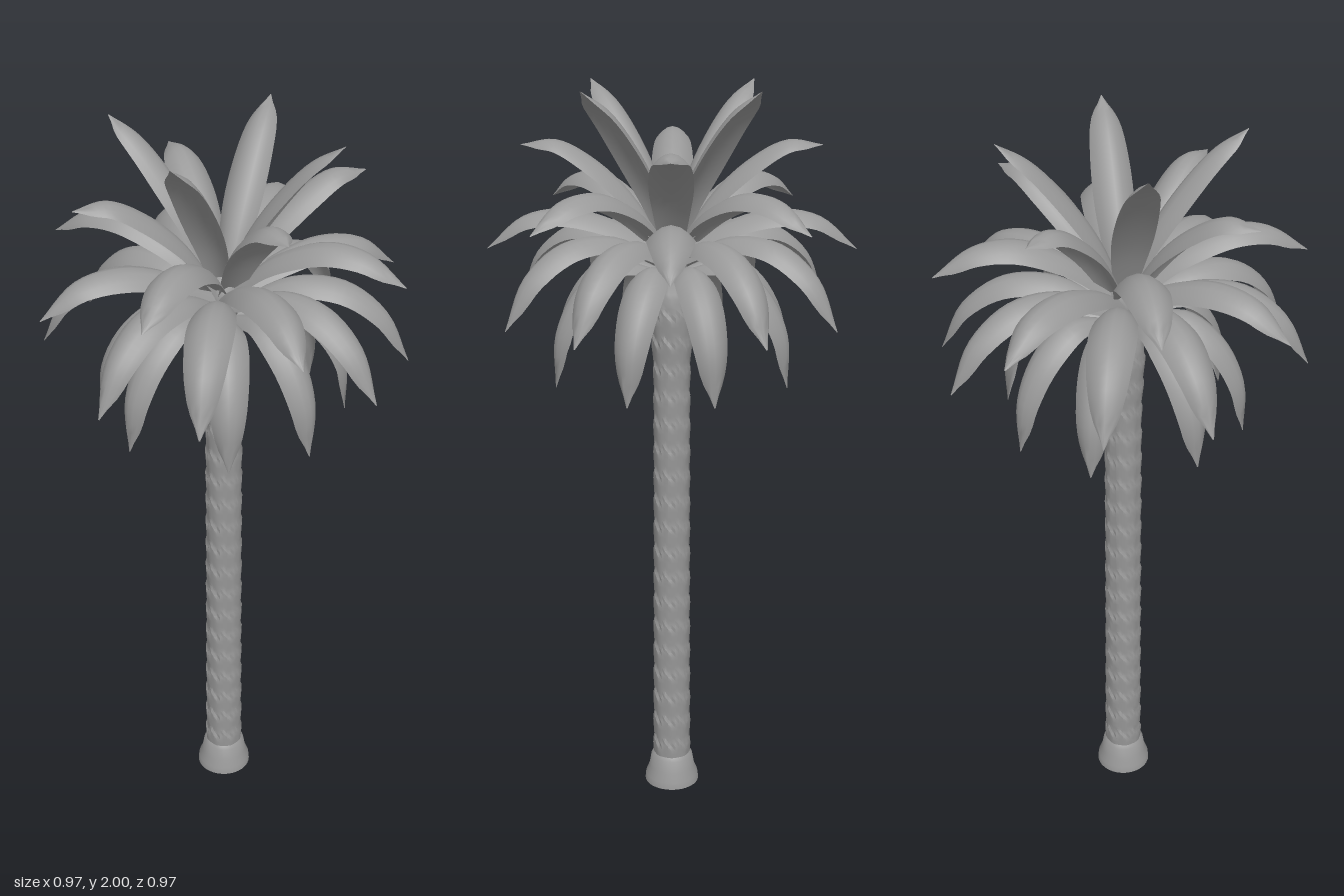
import * as THREE from 'three';
import { mergeVertices, toCreasedNormals } from 'three/addons/utils/BufferGeometryUtils.js';

// Smooth arched frond: a tube reshaped into a crescent section along a spine in the x-y plane
function frondGeometry(spine, halfWidth) {
  const curve = new THREE.CatmullRomCurve3(spine.map(([r, y]) => new THREE.Vector3(r, y, 0)));
  const widths = new THREE.SplineCurve(
    [0.5, 0.72, 0.9, 1, 1, 0.93, 0.8, 0.56, 0.03].map((w, i) => new THREE.Vector2(i / 8, w)));
  let geo = new THREE.CylinderGeometry(1, 1, 1, 16, 20, true);
  const pos = geo.attributes.position;
  for (let i = 0; i < pos.count; i++) {
    const u = pos.getX(i), s = THREE.MathUtils.clamp(pos.getY(i) + 0.5, 0, 1);
    const p = curve.getPoint(s), t = curve.getTangent(s);
    const w = halfWidth * widths.getPoint(s).y;
    const under = pos.getZ(i) < -1e-4 ? 0.25 * w * (1 - u * u) : 0;
    const lift = -0.65 * w * u * u - under;
    pos.setXYZ(i, p.x - t.y * lift, p.y + t.x * lift, u * w);
  }
  geo.deleteAttribute('uv');
  geo.deleteAttribute('normal');
  geo = mergeVertices(geo, 1e-5);
  return toCreasedNormals(geo, 1);
}

// Trunk with staggered leaf scars
function trunkGeometry() {
  const profile = [[0.03, 0.03], [0.045, 0.004], [0.078, 0], [0.076, 0.02], [0.066, 0.045], [0.06, 0.08]];
  for (let i = 0; i <= 110; i++) {
    const y = 0.09 + i * 0.0125;
    const r = 0.053 - 0.004 * Math.sin(Math.min(y / 1.25, 1) * Math.PI / 2) + 0.007 * THREE.MathUtils.smoothstep(y, 1.22, 1.42);
    profile.push([r - 0.014 * THREE.MathUtils.smoothstep(y, 1.42, 1.5), y]);
  }
  profile.push([0.03, 1.52], [0.03, 1.58], [0, 1.6]);
  profile.sort((a, b) => 0);
  const points = profile.filter(([r, y], i) => i < 6 || y <= 1.5 || i > 116).map(([r, y]) => new THREE.Vector2(r, y));
  let geo = new THREE.LatheGeometry(points, 32);
  const pos = geo.attributes.position;
  for (let i = 0; i < pos.count; i++) {
    const x = pos.getX(i), y = pos.getY(i), z = pos.getZ(i);
    if (y < 0.085 || y > 1.49) continue;
    const a = Math.atan2(z, x) / (2 * Math.PI) * 8;
    const row = y / 0.075 + 0.35 * Math.abs(((a % 1) + 1) % 1 - 0.5) * 2;
    const k = 1 + 0.1 * ((row % 1) - 0.4);
    pos.setXYZ(i, x * k, y, z * k);
  }
  geo.deleteAttribute('uv');
  geo.deleteAttribute('normal');
  geo = mergeVertices(geo, 1e-5);
  return toCreasedNormals(geo, 0.6);
}

export function createModel() {
  const grey = new THREE.MeshStandardMaterial({ color: 0x999999 });
  grey.name = 'grey';
  const model = new THREE.Group();
  model.name = 'palmTree';

  const trunk = new THREE.Mesh(trunkGeometry(), grey);
  trunk.name = 'trunk';
  model.add(trunk);

  // Fronds in rings, from the upright crown to the drooping skirt
  const rings = [
    { name: 'crownFrond', angles: [45], width: 0.052,
      spine: [[0, 1.6], [0.06, 1.74], [0.14, 1.86], [0.23, 1.955], [0.31, 2]] },
    { name: 'upperFrond', angles: [0], width: 0.056,
      spine: [[0.01, 1.58], [0.11, 1.73], [0.21, 1.82], [0.3, 1.863], [0.39, 1.85]] },
    { name: 'diagonalFrond', angles: [45], width: 0.06,
      spine: [[0.02, 1.59], [0.14, 1.7], [0.27, 1.753], [0.38, 1.74], [0.48, 1.67]] },
    { name: 'levelFrond', angles: [0], width: 0.061,
      spine: [[0.02, 1.58], [0.14, 1.65], [0.27, 1.685], [0.39, 1.665], [0.487, 1.58]] },
    { name: 'lowerFrond', angles: [29, 61], width: 0.059,
      spine: [[0.02, 1.55], [0.17, 1.625], [0.31, 1.62], [0.42, 1.54], [0.48, 1.41]] },
    { name: 'hangingFrond', angles: [20, 70], width: 0.055,
      spine: [[0.02, 1.52], [0.16, 1.555], [0.26, 1.49], [0.322, 1.37], [0.325, 1.23]] },
  ];
  for (const { name, angles, width, spine } of rings) {
    const geo = frondGeometry(spine, width);
    const ring = new THREE.Group();
    ring.name = name + 'Ring';
    for (const angle of angles) {
      for (let q = 0; q < 4; q++) {
        const frond = new THREE.Mesh(geo, grey);
        frond.name = name;
        frond.rotation.y = THREE.MathUtils.degToRad(angle + q * 90);
        ring.add(frond);
      }
    }
    model.add(ring);
  }

  // Small bud where the fronds meet
  const bud = new THREE.Mesh(new THREE.SphereGeometry(0.045, 16, 10), grey);
  bud.name = 'bud';
  bud.scale.y = 1.6;
  bud.position.y = 1.56;
  model.add(bud);
  return model;
}
